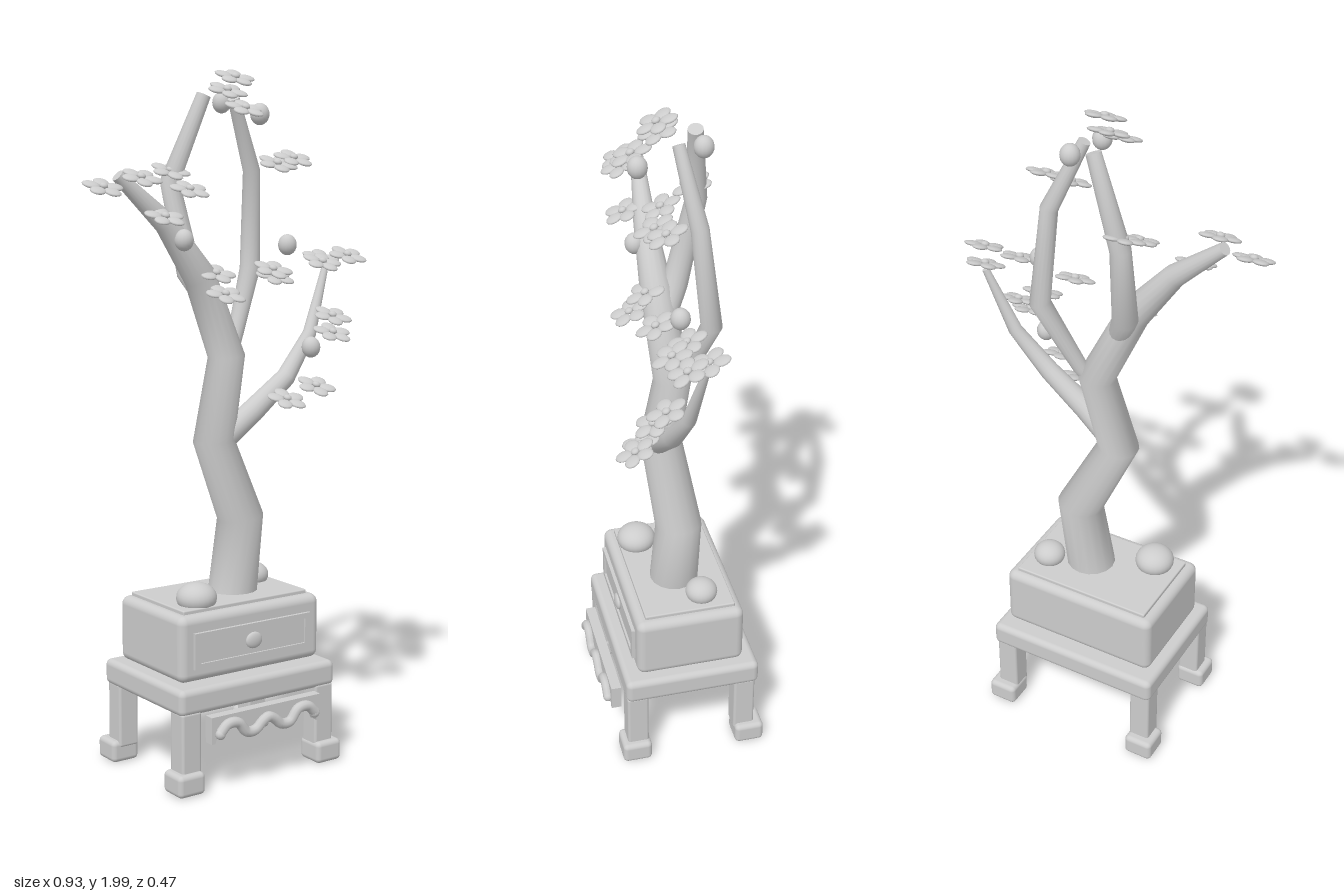
import * as THREE from 'three';
import { RoundedBoxGeometry } from 'three/addons/geometries/RoundedBoxGeometry.js';

const V = (x, y, z) => new THREE.Vector3(x, y, z);

// Tapered limb through points [x, y, z, radius], mitred at the bends
function limbGeometry(points, sides = 16) {
  const centres = points.map((p) => V(p[0], p[1], p[2]));
  const pos = [], index = [];
  const n = centres.length;
  const ring = (i) => {
    const t = V(0, 0, 0);
    if (i > 0) t.add(centres[i].clone().sub(centres[i - 1]).normalize());
    if (i < n - 1) t.add(centres[i + 1].clone().sub(centres[i]).normalize());
    t.normalize();
    const u = V(1, 0, 0).addScaledVector(t, -t.x).normalize();
    const v = t.clone().cross(u);
    for (let j = 0; j < sides; j++) {
      const a = (j / sides) * Math.PI * 2;
      const p = centres[i].clone()
        .addScaledVector(u, Math.cos(a) * points[i][3])
        .addScaledVector(v, Math.sin(a) * points[i][3]);
      pos.push(p.x, p.y, p.z);
    }
  };
  for (let i = 0; i < n; i++) ring(i);
  for (let i = 0; i < n - 1; i++) {
    for (let j = 0; j < sides; j++) {
      const a = i * sides + j, b = i * sides + (j + 1) % sides;
      index.push(a, b, b + sides, a, b + sides, a + sides);
    }
  }
  // flat cap on the tip
  ring(n - 1);
  const c = centres[n - 1];
  pos.push(c.x, c.y, c.z);
  for (let j = 0; j < sides; j++) {
    index.push((n + 1) * sides, n * sides + j, n * sides + (j + 1) % sides);
  }
  const g = new THREE.BufferGeometry();
  g.setAttribute('position', new THREE.Float32BufferAttribute(pos, 3));
  g.setIndex(index);
  g.computeVertexNormals();
  return g;
}

export function createModel() {
  const model = new THREE.Group();
  const grey = new THREE.MeshStandardMaterial({ color: 0xcccccc });
  grey.name = 'pale grey';

  const add = (name, geometry, x = 0, y = 0, z = 0, parent = model) => {
    const mesh = new THREE.Mesh(geometry, grey);
    mesh.name = name;
    mesh.position.set(x, y, z);
    parent.add(mesh);
    return mesh;
  };
  const box = (name, w, h, d, r, x, y, z) =>
    add(name, new RoundedBoxGeometry(w, h, d, 4, r), x, y, z);

  // Stand: slab, four legs and block feet
  box('standTop', 0.54, 0.075, 0.405, 0.018, 0, 0.263, -0.018);
  for (const side of [-1, 1]) {
    for (const [legZ, footZ] of [[0.15, 0.156], [-0.178, -0.193]]) {
      box('leg', 0.064, 0.19, 0.064, 0.008, side * 0.232, 0.14, legZ);
      box('foot', 0.088, 0.064, 0.088, 0.014, side * 0.241, 0.032, footZ);
    }
  }

  // Carved apron below the slab: scalloped board and wavy moulding
  const apron = new THREE.Shape();
  apron.moveTo(-0.19, 0.222);
  apron.lineTo(-0.19, 0.145);
  apron.lineTo(-0.178, 0.145);
  apron.quadraticCurveTo(-0.165, 0.19, -0.12, 0.185);
  apron.quadraticCurveTo(-0.07, 0.16, -0.045, 0.17);
  apron.quadraticCurveTo(-0.02, 0.18, 0, 0.195);
  apron.quadraticCurveTo(0.02, 0.18, 0.045, 0.17);
  apron.quadraticCurveTo(0.07, 0.16, 0.12, 0.185);
  apron.quadraticCurveTo(0.165, 0.19, 0.178, 0.145);
  apron.lineTo(0.19, 0.145);
  apron.lineTo(0.19, 0.222);
  add('apronBoard', new THREE.ExtrudeGeometry(apron, { depth: 0.03, bevelEnabled: false, curveSegments: 8 }), 0, 0, 0.186);
  const half = [[0.165, 0.175], [0.14, 0.197], [0.105, 0.195], [0.075, 0.163], [0.045, 0.163], [0.02, 0.183]];
  const wave = [
    ...half.map(([x, y]) => V(-x, y, 0.222)),
    V(0, 0.192, 0.222),
    ...half.reverse().map(([x, y]) => V(x, y, 0.222)),
  ];
  add('apronMoulding', new THREE.TubeGeometry(new THREE.CatmullRomCurve3(wave), 60, 0.015, 10));
  for (const side of [-1, 1]) {
    add('apronScroll', new THREE.SphereGeometry(0.015, 12, 8), side * 0.165, 0.172, 0.222);
  }

  // Planter box with soil plate
  box('planterBox', 0.486, 0.19, 0.322, 0.024, 0, 0.4, -0.017);
  box('soilPlate', 0.43, 0.024, 0.27, 0.004, 0, 0.494, -0.02);

  // Drawer front: raised frame, panel and knob
  const frame = new THREE.Shape();
  const rect = (path, w, h) => {
    path.moveTo(-w, -h);
    path.lineTo(w, -h);
    path.lineTo(w, h);
    path.lineTo(-w, h);
    path.closePath();
    return path;
  };
  rect(frame, 0.202, 0.052);
  frame.holes.push(rect(new THREE.Path(), 0.182, 0.036));
  add('drawerFrame', new THREE.ExtrudeGeometry(frame, { depth: 0.012, bevelEnabled: false }), 0, 0.396, 0.142);
  add('drawerPanel', new THREE.BoxGeometry(0.37, 0.076, 0.006), 0, 0.396, 0.145);
  add('drawerKnob', new THREE.SphereGeometry(0.028, 20, 14), 0, 0.398, 0.152).scale.set(1, 0.85, 0.35);

  // Stones on the soil
  add('stone', new THREE.SphereGeometry(0.058, 24, 16), -0.135, 0.523, 0.062).scale.y = 0.75;
  add('stone', new THREE.SphereGeometry(0.047, 24, 16), 0.155, 0.523, -0.068).scale.y = 0.8;

  // Zigzag trunk running into the left limb, with three side branches
  const limbs = {
    trunk: [[0.04, 0.49, -0.012, 0.072], [0.073, 0.72, -0.018, 0.068], [-0.038, 0.955, 0.008, 0.06],
      [0.02, 1.19, -0.012, 0.054], [-0.085, 1.42, 0.008, 0.046], [-0.2, 1.57, 0.012, 0.032], [-0.345, 1.7, 0, 0.018]],
    tallBranch: [[-0.04, 1.33, 0, 0.03], [-0.085, 1.43, -0.045, 0.036], [-0.105, 1.68, -0.11, 0.029], [-0.01, 1.92, -0.08, 0.021]],
    curvedBranch: [[0.025, 1.15, -0.015, 0.012], [0.06, 1.22, -0.035, 0.022], [0.155, 1.43, -0.085, 0.03],
      [0.138, 1.71, -0.055, 0.025], [0.05, 1.91, -0.02, 0.017]],
    lowBranch: [[-0.01, 0.96, 0.02, 0.035], [0.08, 1.03, 0.03, 0.034], [0.2, 1.12, 0.03, 0.028],
      [0.3, 1.24, 0.012, 0.02], [0.375, 1.43, -0.012, 0.01]],
  };
  for (const [name, points] of Object.entries(limbs)) add(name, limbGeometry(points));

  // Five-petal blossoms, all tilted toward the front
  const petal = new THREE.SphereGeometry(1, 14, 8);
  const blossoms = [
    [-0.41, 1.67, 0.035], [-0.305, 1.695, 0.055], [-0.235, 1.59, 0.065],
    [-0.11, 1.71, -0.1], [-0.105, 1.66, -0.01], [-0.055, 1.43, 0.045], [-0.055, 1.375, 0.09],
    [0.02, 1.965, 0.03], [0, 1.93, 0.02], [0.008, 1.88, 0.095],
    [0.14, 1.73, 0.065], [0.208, 1.745, 0.05], [0.13, 1.435, 0.06], [0.19, 1.41, -0.01],
    [0.308, 1.45, 0.06], [0.412, 1.465, 0.045], [0.37, 1.455, -0.022],
    [0.33, 1.295, 0.08], [0.308, 1.25, 0.11], [0.225, 1.105, 0.14], [0.145, 1.07, 0.11],
  ];
  blossoms.forEach(([x, y, z], i) => {
    const flower = new THREE.Group();
    flower.name = 'blossom';
    flower.position.set(x, y, z);
    flower.rotation.set(0.4, i * 0.7, 0);
    for (let k = 0; k < 5; k++) {
      const a = (k / 5) * Math.PI * 2;
      const p = add('petal', petal, Math.cos(a) * 0.034, 0, Math.sin(a) * 0.034, flower);
      p.scale.set(0.025, 0.007, 0.022);
      p.rotation.y = -a;
    }
    add('blossomCentre', petal, 0, 0.005, 0, flower).scale.set(0.012, 0.008, 0.012);
    model.add(flower);
  });

  // Round buds
  for (const [x, y, z] of [[-0.165, 1.525, 0.05], [0.215, 1.5, 0.015], [0.245, 1.21, 0.09], [0.06, 1.865, 0.09], [0.055, 1.9, -0.085]]) {
    add('bud', new THREE.SphereGeometry(0.027, 16, 12), x, y, z).scale.y = 1.12;
  }

  return model;
}
